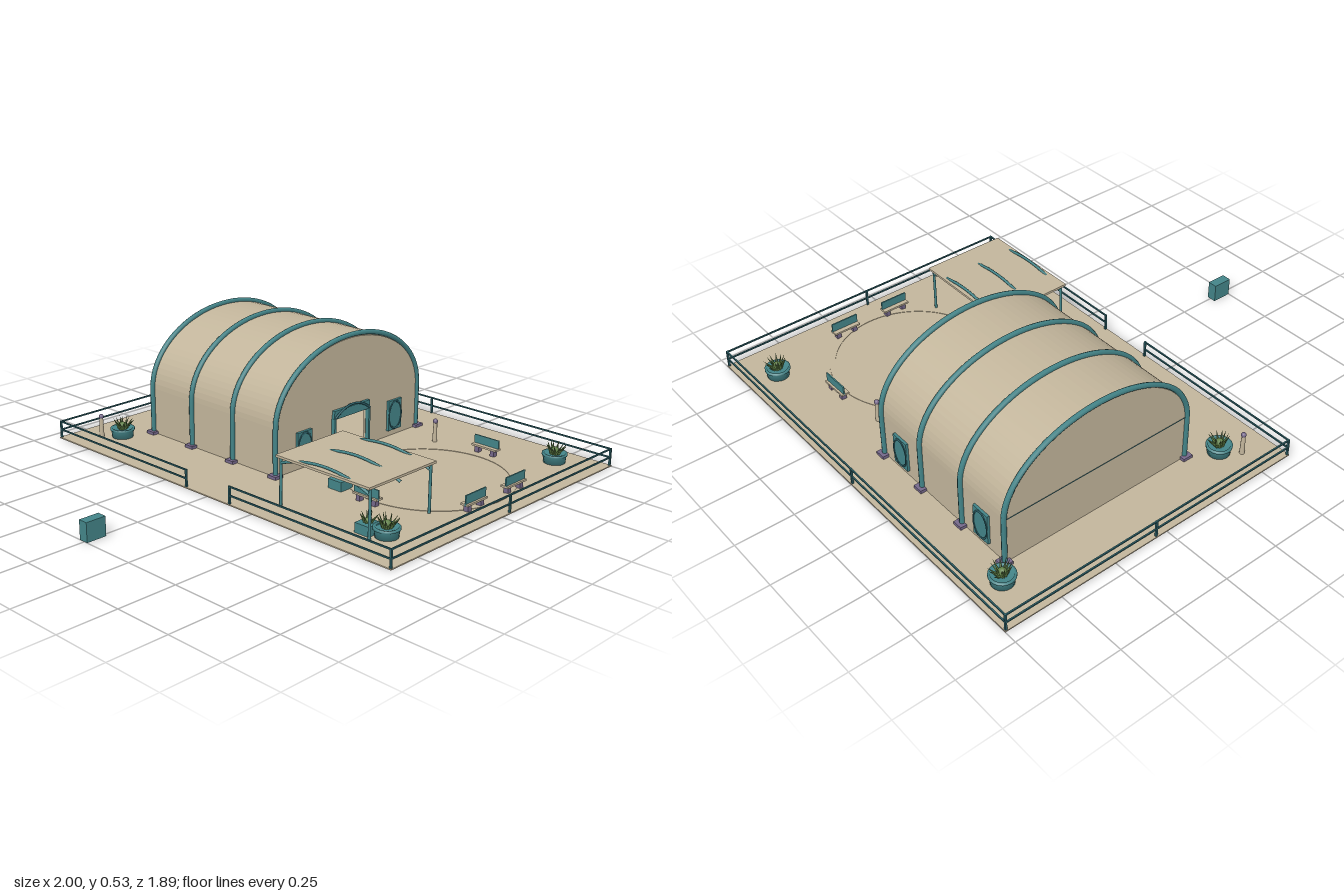
import * as THREE from 'three';

const mat = (color, side = THREE.FrontSide) => new THREE.MeshStandardMaterial({ color, side });
const TAN = mat(0xc2b59b), TEAL = mat(0x438488), DARK = mat(0x2c6068), PURPLE = mat(0x75688a);
const GREEN = mat(0x5f7f45, THREE.DoubleSide);
const FLOOR = 0.005;

function add(parent, name, geo, material, x = 0, y = 0, z = 0) {
  const m = new THREE.Mesh(geo, material);
  m.name = name;
  m.position.set(x, y, z);
  parent.add(m);
  return m;
}
function group(parent, name, x = 0, y = 0, z = 0) {
  const g = new THREE.Group();
  g.name = name;
  g.position.set(x, y, z);
  parent.add(g);
  return g;
}
const box = (w, h, d) => new THREE.BoxGeometry(w, h, d);
const tube = (pts, r, n = 48) =>
  new THREE.TubeGeometry(new THREE.CatmullRomCurve3(pts.map(p => new THREE.Vector3(...p))), n, r, 8);

// Outline of the vault: straight walls up to the spring line, half ellipse above
function archPoints(a, b, spring = 0.21, n = 40) {
  const pts = [[a, 0]];
  for (let i = 0; i <= n; i++) {
    const t = Math.PI * i / n;
    pts.push([a * Math.cos(t), spring + b * Math.sin(t)]);
  }
  pts.push([-a, 0]);
  return pts;
}
const shapeOf = pts => new THREE.Shape(pts.map(p => new THREE.Vector2(p[0], p[1])));
const extrude = (shape, depth) => new THREE.ExtrudeGeometry(shape, { depth, bevelEnabled: false });

function addWindow(parent, x, z, turn) {
  const w = group(parent, 'window', x, 0.1, z);
  w.rotation.y = turn;
  add(w, 'windowPanel', box(0.085, 0.135, 0.012), TEAL);
  const ring = add(w, 'windowRing', new THREE.TorusGeometry(0.04, 0.003, 6, 24), DARK, 0, 0, 0.007);
  ring.scale.y = 1.55;
}

function addHall(root) {
  const hall = group(root, 'hall', 0.365, 0, 0);
  // Vaulted shell
  const shell = shapeOf([...archPoints(0.437, 0.3), ...archPoints(0.43, 0.293).reverse()]);
  add(hall, 'vaultShell', extrude(shell, 0.745), TAN, 0, 0, -0.69);
  // End walls, the front one with a doorway
  const back = shapeOf(archPoints(0.43, 0.293));
  add(hall, 'backWall', extrude(back, 0.01), TAN, 0, 0, -0.695);
  const front = shapeOf(archPoints(0.43, 0.293));
  front.holes.push(new THREE.Path([[-0.1, 0.001], [0.1, 0.001], [0.1, 0.17], [-0.1, 0.17]]
    .map(p => new THREE.Vector2(...p))));
  add(hall, 'frontWall', extrude(front, 0.01), TAN, 0, 0, 0.05);
  add(hall, 'backWallSeam', box(0.87, 0.002, 0.002), DARK, 0, 0.21, -0.696);
  // Ribs and their footings
  for (const z of [0.058, -0.192, -0.443, -0.695]) {
    add(hall, 'rib', tube(archPoints(0.441, 0.306).map(p => [p[0], p[1], z]), 0.011, 72), TEAL);
    for (const s of [-1, 1]) add(hall, 'ribFooting', box(0.045, 0.018, 0.045), PURPLE, s * 0.442, 0.009, z);
  }
  // Doorway frame with a shallow arch
  const door = group(hall, 'doorway', 0, 0, 0.068);
  for (const s of [-1, 1]) add(door, 'doorJamb', box(0.01, 0.175, 0.02), TEAL, s * 0.107, 0.0875, 0);
  add(door, 'doorLintel', box(0.22, 0.038, 0.014), TEAL, 0, 0.191, 0);
  const arc = [];
  for (let i = -5; i <= 5; i++) arc.push([i * 0.0215, 0.22 - 0.042 * (i / 5) ** 2, 0.01]);
  add(door, 'doorArch', tube(arc, 0.005, 24), DARK);
  // Windows in the front and left walls
  for (const s of [-1, 1]) addWindow(hall, s * 0.283, 0.066, 0);
  for (const z of [-0.065, -0.565]) addWindow(hall, 0.442, z, Math.PI / 2);
  // Furniture inside
  for (const [x, z] of [[0.33, -0.37], [0.02, -0.55]]) {
    const t = group(hall, 'table', x, 0, z);
    add(t, 'tableTop', box(0.14, 0.008, 0.09), TAN, 0, 0.06, 0);
    for (const i of [-1, 1]) for (const j of [-1, 1])
      add(t, 'tableLeg', box(0.008, 0.058, 0.008), PURPLE, i * 0.06, 0.029, j * 0.035);
  }
  add(hall, 'counter', box(0.1, 0.07, 0.03), TEAL, 0.285, 0.035, -0.64);
}

// Bench whose back stands on its local +z side
function addBench(root, x, z, turn) {
  const b = group(root, 'bench', x, 0, z);
  b.rotation.y = turn;
  add(b, 'benchSeat', box(0.125, 0.008, 0.036), TAN, 0, 0.036, 0);
  add(b, 'benchBack', box(0.125, 0.045, 0.006), TEAL, 0, 0.054, 0.006);
  for (const s of [-1, 1]) add(b, 'benchLeg', box(0.02, 0.034, 0.022), PURPLE, s * 0.04, 0.017, 0);
}

function addLeaves(parent, y, r, h, count) {
  for (let i = 0; i < count; i++) {
    const a = i * 2.4, lean = 0.25 + 0.65 * ((i * 0.37) % 1);
    const leaf = new THREE.ConeGeometry(0.007, h, 4);
    leaf.translate(0, h / 2, 0);
    leaf.rotateZ(-lean);
    leaf.rotateY(a);
    add(parent, 'leaf', leaf, GREEN, Math.cos(a) * r * 0.35, y, -Math.sin(a) * r * 0.35);
  }
  add(parent, 'foliage', new THREE.IcosahedronGeometry(r * 0.5, 1), GREEN, 0, y + r * 0.4, 0);
}

function addPlanters(root) {
  const profile = [[0, 0], [0.045, 0], [0.049, 0.036], [0.053, 0.037], [0.053, 0.046], [0.044, 0.046], [0.042, 0.04], [0, 0.04]]
    .map(p => new THREE.Vector2(...p));
  for (const x of [-0.2, 0.867]) for (const z of [-0.76, 0.755]) {
    const p = group(root, 'roundPlanter', x, 0, z);
    add(p, 'bowl', new THREE.LatheGeometry(profile, 20), TEAL);
    addLeaves(p, 0.04, 0.036, 0.056, 14);
  }
  for (const [x, z] of [[0.03, 0.315], [-0.22, 0.68], [0.03, -0.44]]) {
    const p = group(root, 'squarePlanter', x, 0, z);
    add(p, 'planterBox', box(0.07, 0.045, 0.07), TEAL, 0, 0.0225, 0);
    addLeaves(p, 0.042, 0.026, 0.048, 9);
  }
}

function addCanopy(root) {
  const c = group(root, 'canopy', -0.094, 0, 0.502);
  add(c, 'canopyRoof', box(0.38, 0.01, 0.475), TAN, 0, 0.211, 0);
  for (const x of [-0.172, 0, 0.172]) {
    // Bowed roof ribs rise through the roof sheet
    const arc = [];
    for (let i = -5; i <= 5; i++) arc.push([x, 0.226 - 0.045 * (i / 5) ** 2, i * 0.045]);
    add(c, 'canopyRib', tube(arc, 0.006, 24), TEAL);
    if (x) for (const s of [-1, 1])
      add(c, 'canopyPost', new THREE.CylinderGeometry(0.006, 0.006, 0.207, 10), TEAL, x, 0.1035, s * 0.226);
  }
}

// Fence run between two ground points: two rails and evenly spaced posts
function addFence(root, x1, z1, x2, z2, posts) {
  const f = group(root, 'fence');
  const len = Math.hypot(x2 - x1, z2 - z1), turn = Math.atan2(x2 - x1, z2 - z1);
  for (const y of [0.04, 0.077])
    add(f, 'fenceRail', box(0.006, 0.006, len), DARK, (x1 + x2) / 2, y, (z1 + z2) / 2).rotation.y = turn;
  for (let i = 0; i < posts; i++) {
    const t = i / (posts - 1);
    add(f, 'fencePost', box(0.008, 0.08, 0.008), DARK, x1 + (x2 - x1) * t, 0.04, z1 + (z2 - z1) * t);
  }
}

export function createModel() {
  const root = new THREE.Group();
  root.name = 'courtyardHall';
  add(root, 'ground', box(1.4, FLOOR, 1.892), TAN, 0.3, FLOOR / 2, 0);
  addHall(root);
  addCanopy(root);
  addPlanters(root);

  // Round court marked by a thin raised ring
  const court = new THREE.Shape().absarc(0, 0, 0.35, 0, Math.PI * 2);
  court.holes.push(new THREE.Path().absarc(0, 0, 0.325, 0, Math.PI * 2, true));
  const ring = new THREE.ExtrudeGeometry(court, { depth: 0.007, bevelEnabled: false, curveSegments: 48 });
  add(root, 'courtRing', ring.rotateX(-Math.PI / 2), TAN, 0.365, 0, 0.5);

  // Benches around the court
  addBench(root, 0.237, 0.818, 0);
  addBench(root, 0.492, 0.818, 0);
  addBench(root, 0.742, 0.495, Math.PI / 2);
  addBench(root, -0.012, 0.495, -Math.PI / 2);

  // Bollards
  for (const [x, z] of [[0.71, 0.247], [-0.266, -0.822]]) {
    const b = group(root, 'bollard', x, 0, z);
    add(b, 'bollardShaft', new THREE.CylinderGeometry(0.008, 0.011, 0.09, 10), TAN, 0, 0.045, 0);
    add(b, 'bollardHead', new THREE.SphereGeometry(0.011, 12, 8), PURPLE, 0, 0.097, 0);
  }

  // Fence, with a gate gap on the right side
  const L = -0.394, R = 0.994, Z = 0.94;
  addFence(root, L, Z, R, Z, 3);
  addFence(root, L, -Z, R, -Z, 3);
  addFence(root, R, -Z, R, Z, 3);
  for (const s of [-1, 1]) addFence(root, L, s * 0.125, L, s * Z, 2);

  // Detached cabinet outside the gate
  add(root, 'cabinet', box(0.088, 0.08, 0.042), TEAL, -0.956, 0.04, -0.005);
  return root;
}
